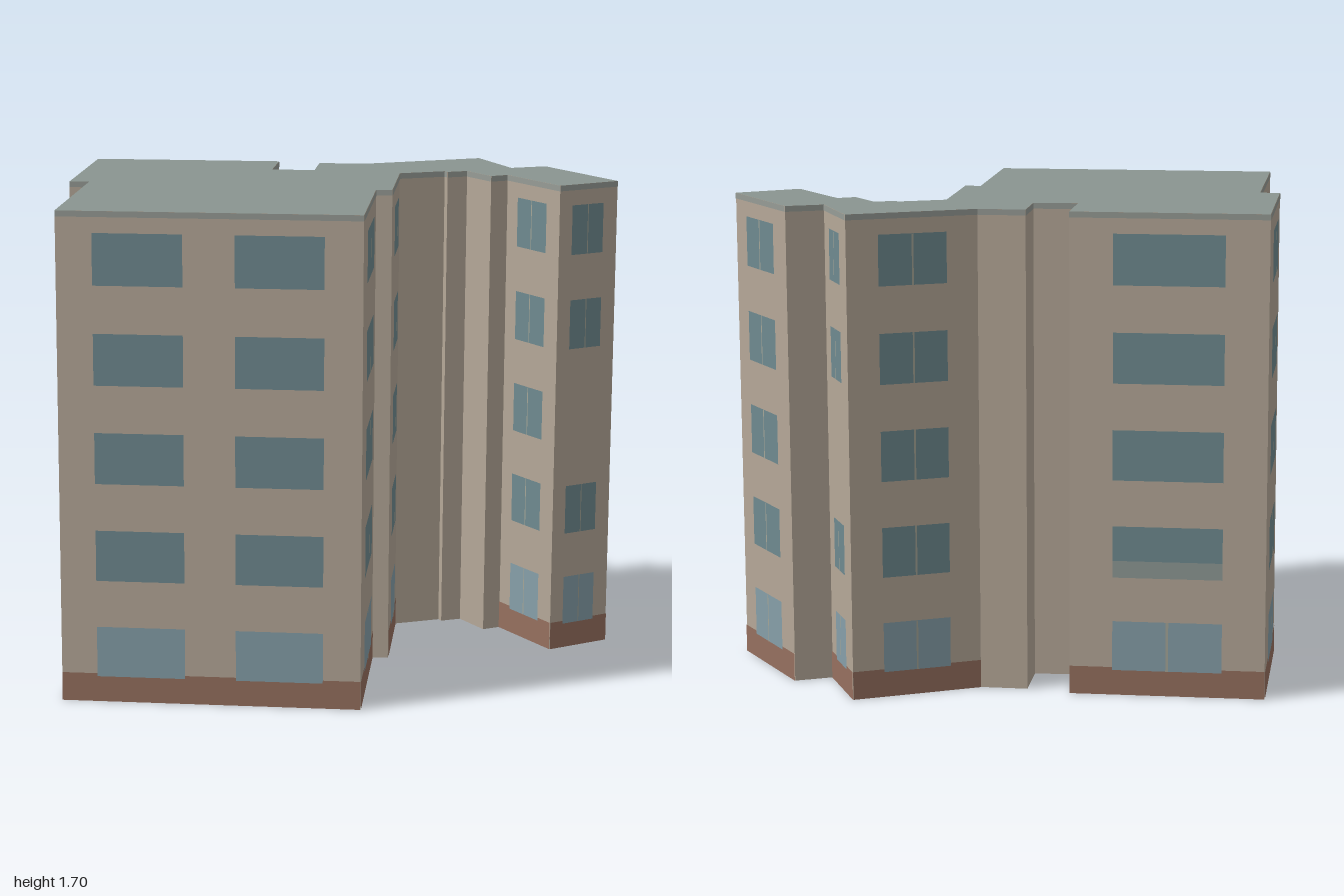
import * as THREE from 'three';
import { mergeGeometries } from 'three/addons/utils/BufferGeometryUtils.js';

const HEIGHT = 1.7;
const ROWS = [0.09, 0.43, 0.77, 1.11, 1.45]; // window sills
const WINDOW_H = 0.177;

// Footprint corners (x, z), anticlockwise seen from above; wall i runs from corner i to i + 1
const PLAN = [
  [0.06, 1.0], [0.82, 0.31], [0.43, -0.12], [0.47, -0.16], [0.19, -0.47], [0.26, -0.63],
  [0.28, -0.625], [0.31, -0.695], [0.46, -0.665], [0.48, -0.73], [0.79, -0.67], [0.845, -0.91],
  [0.415, -1.0], [0.36, -0.875], [0.095, -0.98], [-0.08, -0.55], [-0.205, -0.44], [-0.08, -0.3],
  [-0.19, -0.19], [-0.34, -0.36], [-0.845, 0.1], [-0.44, 0.55], [-0.39, 0.5],
];

// Walls with a brick plinth: window spans along the wall, mullions, storey left blank
const FACADES = [
  { wall: 0, spans: [[0.12, 0.415], [0.585, 0.875]] },
  { wall: 1, spans: [[0.23, 0.78]], mullion: true },
  { wall: 3, spans: [[0.23, 0.74]], mullion: true },
  { wall: 9, spans: [[0.22, 0.77]], mullion: true },
  { wall: 10, spans: [[0.21, 0.75]], mullion: true, blank: 2 },
  { wall: 11, spans: [[0.23, 0.77]], mullion: true },
  { wall: 13, spans: [[0.27, 0.74]], mullion: true, blank: 2 },
  { wall: 14, spans: [[0.24, 0.76]], mullion: true },
  { wall: 18, spans: [] },
  { wall: 19, spans: [[0.22, 0.78]], railing: 1 },
  { wall: 20, spans: [[0.22, 0.75]], mullion: true },
  { wall: 22, spans: [[0.235, 0.765]], mullion: true },
];

// Upright rectangle on wall i, from fraction t0 to t1, lifted off the wall by `lift`
function panel(i, t0, t1, y0, y1, lift = 0) {
  const [ax, az] = PLAN[i];
  const [bx, bz] = PLAN[(i + 1) % PLAN.length];
  const dx = bx - ax, dz = bz - az;
  const len = Math.hypot(dx, dz);
  const t = (t0 + t1) / 2;
  return new THREE.PlaneGeometry(len * (t1 - t0), y1 - y0)
    .translate(0, (y0 + y1) / 2, lift)
    .rotateY(Math.atan2(-dz, dx))
    .translate(ax + dx * t, 0, az + dz * t);
}

export function createModel() {
  const group = new THREE.Group();
  group.name = 'apartmentBlock';

  const add = (name, geometry, color, side = THREE.FrontSide) => {
    const mesh = new THREE.Mesh(geometry, new THREE.MeshStandardMaterial({ color, side }));
    mesh.name = name;
    group.add(mesh);
  };

  // Outer walls, open at the bottom, with a thin strip under the roof edge
  const walls = PLAN.map((_, i) => panel(i, 0, 1, 0, HEIGHT));
  const trim = PLAN.map((_, i) => panel(i, 0, 1, HEIGHT - 0.02, HEIGHT, 0.002));
  add('walls', mergeGeometries(walls), 0xb5a898, THREE.DoubleSide);
  add('roofTrim', mergeGeometries(trim), 0x979c96);

  // Flat roof
  const outline = new THREE.Shape(PLAN.map(([x, z]) => new THREE.Vector2(x, -z)));
  const roof = new THREE.ShapeGeometry(outline).rotateX(-Math.PI / 2).translate(0, HEIGHT, 0);
  add('roof', roof, 0x8a9590, THREE.DoubleSide);

  // Plinths, windows and mullions on each facade
  const plinths = [], upper = [], ground = [], mullions = [], railings = [];
  for (const { wall, spans, mullion, blank, railing } of FACADES) {
    plinths.push(panel(wall, 0, 1, 0, 0.1, 0.002));
    for (const [t0, t1] of spans) {
      ROWS.forEach((y, row) => {
        if (row === blank) return;
        (row === 0 ? ground : upper).push(panel(wall, t0, t1, y, y + WINDOW_H, 0.004));
        if (mullion || (railing && row === 0)) {
          const mid = (t0 + t1) / 2;
          mullions.push(panel(wall, mid - 0.007, mid + 0.007, y, y + WINDOW_H, 0.006));
        }
        if (row === railing) railings.push(panel(wall, t0, t1, y - 0.005, y + 0.055, 0.008));
      });
    }
  }
  add('plinth', mergeGeometries(plinths), 0x96705f);
  add('upperWindows', mergeGeometries(upper), 0x6f8a90);
  add('groundWindows', mergeGeometries(ground), 0x869fa9);
  add('mullions', mergeGeometries(mullions), 0xa5a698);
  add('windowRailing', mergeGeometries(railings), 0x8e9a96);

  return group;
}
